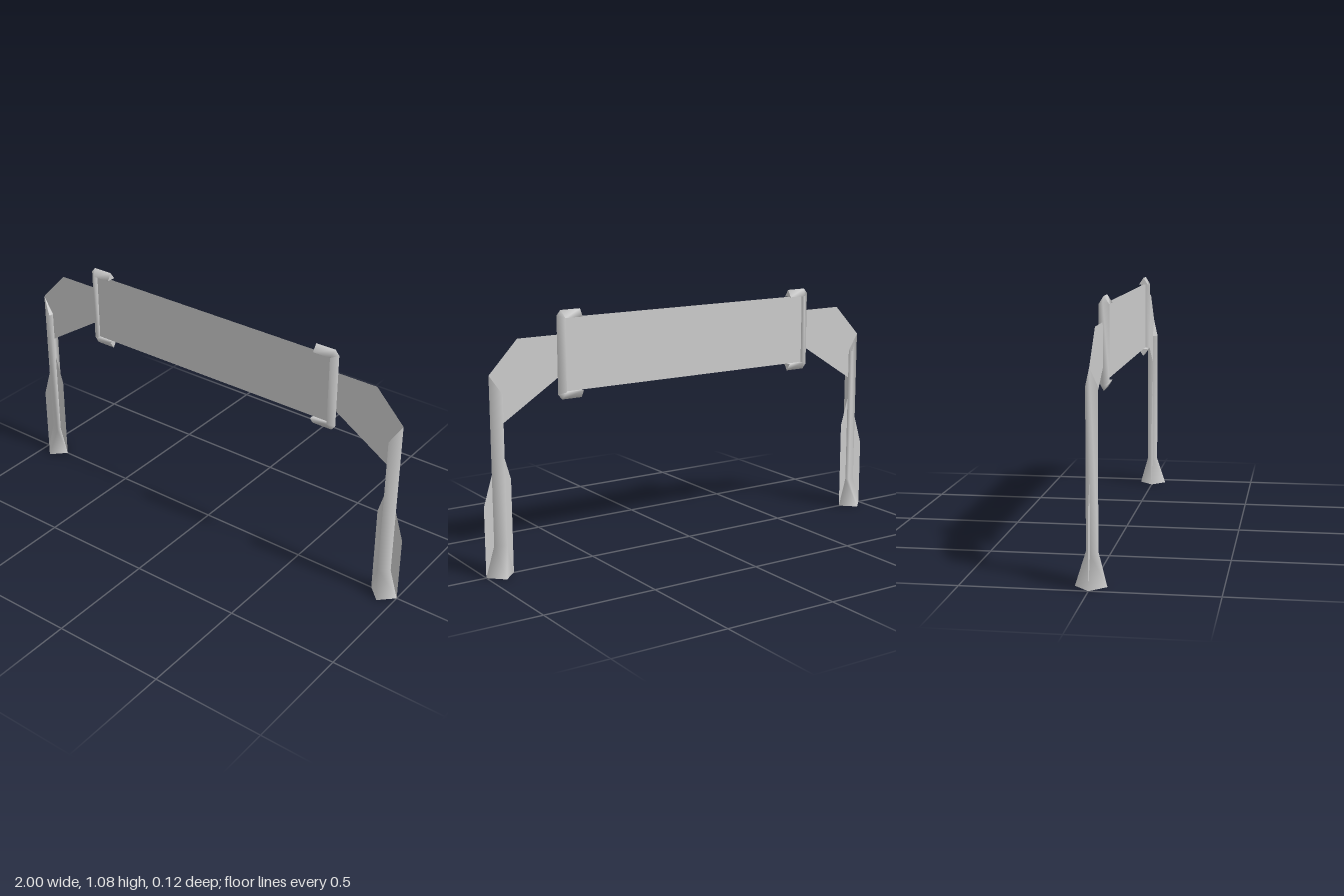
import * as THREE from 'three';

const grey = new THREE.MeshStandardMaterial({ color: 0xcccccc, side: THREE.DoubleSide });
grey.name = 'paleGrey';

function mesh(geometry, name) {
  const m = new THREE.Mesh(geometry, grey);
  m.name = name;
  return m;
}

// Flat sheet in the z = 0 plane
function sheet(points, name) {
  const shape = new THREE.Shape(points.map(([x, y]) => new THREE.Vector2(x, y)));
  return mesh(new THREE.ShapeGeometry(shape), name);
}

// Smooth skin through four-point rings, with flat end caps
function loft(rings, name) {
  const pos = rings.flat(2);
  const index = [];
  for (let i = 0; i < rings.length - 1; i++) {
    for (let j = 0; j < 4; j++) {
      const a = i * 4 + j, b = i * 4 + (j + 1) % 4;
      index.push(a, b, a + 4, b, b + 4, a + 4);
    }
  }
  const first = pos.length / 3, last = first + 4;
  pos.push(...rings[0].flat(), ...rings[rings.length - 1].flat());
  index.push(first, first + 2, first + 1, first, first + 3, first + 2);
  index.push(last, last + 1, last + 2, last, last + 2, last + 3);
  const g = new THREE.BufferGeometry();
  g.setAttribute('position', new THREE.Float32BufferAttribute(pos, 3));
  g.setIndex(index);
  g.computeVertexNormals();
  return mesh(g, name);
}

// Ring with an outer ridge, two side corners and an inner point
function ring([ox, oy], [sx, sy], half, [ix, iy] = [sx, sy]) {
  return [[ox, oy, 0], [sx, sy, half], [ix, iy, 0], [sx, sy, -half]];
}

function createSide() {
  const side = new THREE.Group();

  // Ridged post with a slanted top, flaring into a diamond foot
  side.add(loft([
    ring([0.96, 0.838], [0.912, 0.76], 0.024),
    ring([0.96, 0.13], [0.912, 0.13], 0.024),
    ring([1, 0], [0.9375, 0], 0.0625, [0.875, 0]),
  ], 'post'));

  // Thin fin around the lower post
  side.add(sheet([
    [0.875, 0], [1, 0], [1, 0.3], [0.96, 0.43], [0.912, 0.53], [0.875, 0.4],
  ], 'postFin'));

  // Sheet joining the post to the bracket
  side.add(sheet([
    [0.62, 0.975], [0.83, 0.975], [0.96, 0.838], [0.912, 0.63], [0.62, 0.815],
  ], 'shoulderPlate'));

  // C-shaped bracket gripping the end of the banner
  const top = 1.075, bottom = 0.703, innerTop = 1.043, innerBottom = 0.735;
  side.add(loft([
    ring([0.54, top], [0.54, innerTop], 0.021),
    ring([0.632, top], [0.62, innerTop], 0.021),
    ring([0.65, top - 0.022], [0.62, innerTop], 0.021),
    ring([0.65, bottom + 0.022], [0.62, innerBottom], 0.021),
    ring([0.632, bottom], [0.62, innerBottom], 0.021),
    ring([0.54, bottom], [0.54, innerBottom], 0.021),
  ], 'bracket'));
  return side;
}

export function createModel() {
  const model = new THREE.Group();
  model.name = 'bannerArch';

  model.add(sheet([[-0.62, 0.735], [0.62, 0.735], [0.62, 1.043], [-0.62, 1.043]], 'bannerPanel'));

  const left = createSide();
  left.name = 'leftSide';
  const right = createSide();
  right.name = 'rightSide';
  right.rotation.y = Math.PI;
  model.add(left, right);
  return model;
}
